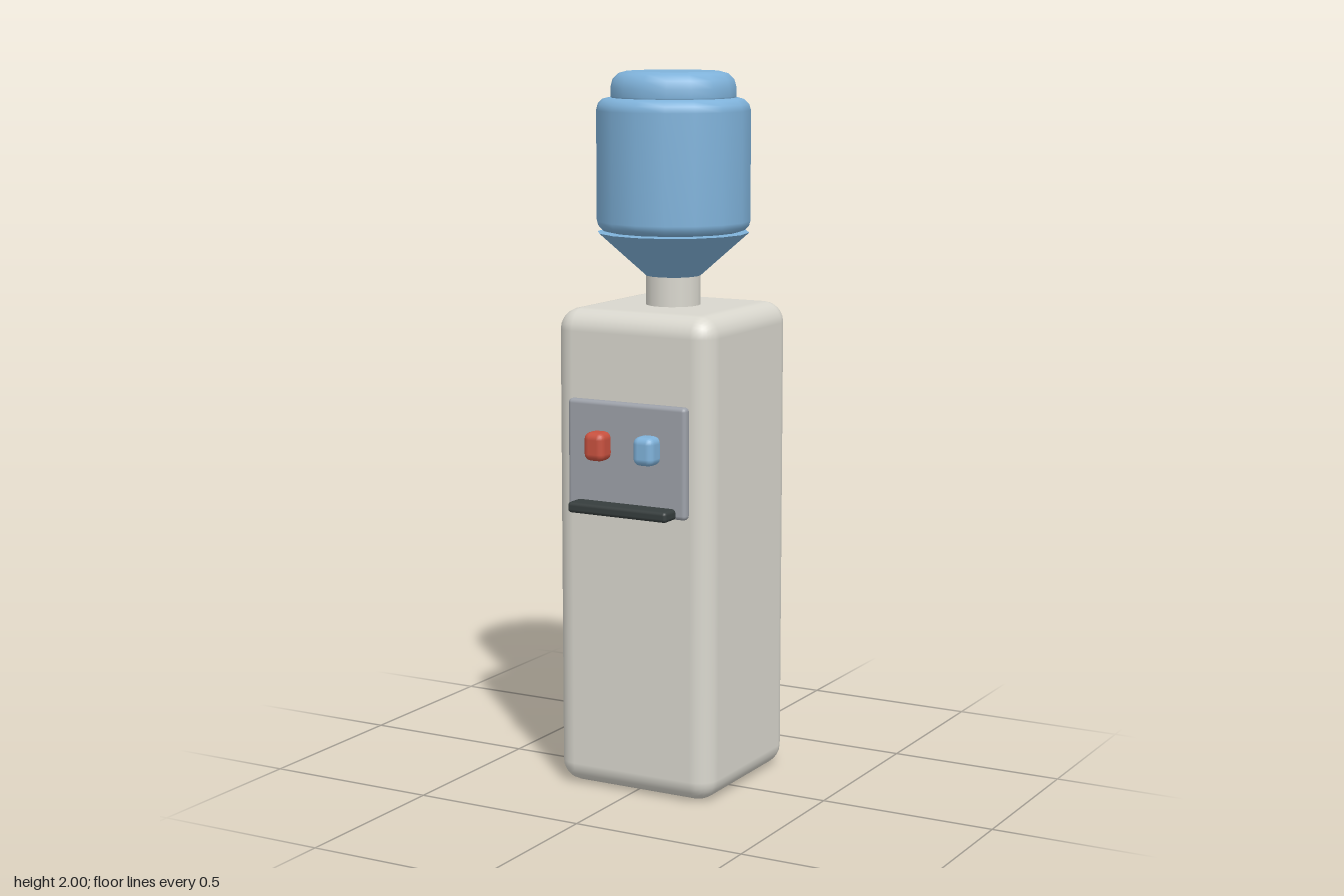
import * as THREE from 'three';
import { RoundedBoxGeometry } from 'three/addons/geometries/RoundedBoxGeometry.js';

const paint = (name, color) => {
  const m = new THREE.MeshStandardMaterial({ color });
  m.name = name;
  return m;
};

export function createModel() {
  const model = new THREE.Group();
  model.name = 'waterCooler';

  const casing = paint('warm white casing', 0xd9d7ce);
  const steel = paint('grey panel', 0x9da1a9);
  const dark = paint('dark tray', 0x363d3d);
  const blue = paint('water blue', 0x7fb2da);
  const red = paint('hot red', 0xc8513f);
  const axisZ = -0.04; // cabinet and bottle share this centre line

  const add = (name, geometry, material, x, y, z) => {
    const mesh = new THREE.Mesh(geometry, material);
    mesh.name = name;
    mesh.position.set(x, y, z);
    model.add(mesh);
    return mesh;
  };
  const box = (name, material, w, h, d, r, x, y, z, seg = 2) =>
    add(name, new RoundedBoxGeometry(w, h, d, seg, r), material, x, y, z);

  // Turned part with 16 sides, closed below and above, with rounded rims
  const drum = (name, radius, y0, y1, bottomRound, topRound) => {
    const points = [[0, y0]];
    const rim = (r, cy, from, to) => {
      for (let i = 0; i <= 3; i++) {
        const a = from + (to - from) * i / 3;
        points.push([radius - r + r * Math.cos(a), cy + r * Math.sin(a)]);
      }
    };
    // A repeated point keeps the edge of the flat cap sharp
    points.push([radius - bottomRound, y0]);
    rim(bottomRound, y0 + bottomRound, -Math.PI / 2, 0);
    rim(topRound, y1 - topRound, 0, Math.PI / 2);
    points.push([radius - topRound, y1], [0, y1]);
    const profile = points.map(([x, y]) => new THREE.Vector2(Math.max(x, 0), y));
    return add(name, new THREE.LatheGeometry(profile, 16), blue, 0, 0, axisZ);
  };

  // Cabinet
  box('cabinet', casing, 0.49, 1.355, 0.49, 0.06, 0, 0.6775, axisZ, 3);

  // Dispenser panel, drip tray and the two taps
  box('dispenserPanel', steel, 0.37, 0.31, 0.03, 0.012, 0, 0.957, 0.214);
  box('dripTray', dark, 0.31, 0.03, 0.075, 0.01, 0, 0.818, 0.2465);
  for (const [name, material, x] of [['hotTap', red, -0.078], ['coldTap', blue, 0.076]])
    box(name, material, 0.064, 0.08, 0.065, 0.02, x, 0.99, 0.245);

  // Neck and funnel that carry the bottle
  add('neck', new THREE.CylinderGeometry(0.077, 0.077, 0.1, 16), casing, 0, 1.39, axisZ);
  add('bottleFunnel', new THREE.CylinderGeometry(0.212, 0.075, 0.122, 16), blue, 0, 1.496, axisZ);

  // Bottle and its raised base
  drum('bottleBody', 0.215, 1.56, 1.928, 0.03, 0.035);
  const base = drum('bottleBase', 0.175, 1.92, 2, 0.012, 0.045);
  base.geometry.computeBoundingBox();

  return model;
}
